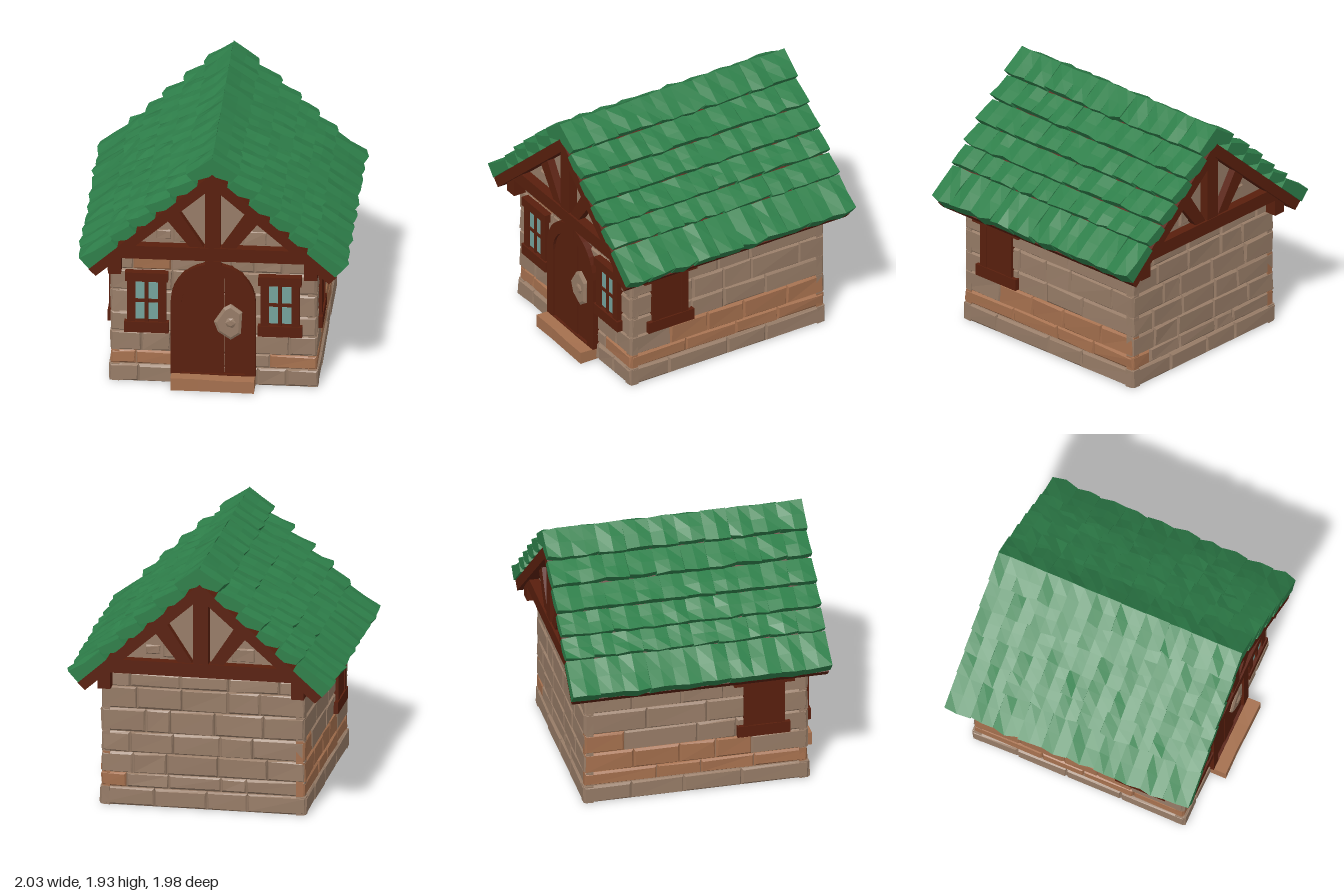
import * as THREE from 'three';

const mat = (name, color) => Object.assign(new THREE.MeshStandardMaterial({ color }), { name });

// repeatable noise in -1..1
const noise = (...k) => {
  const s = Math.sin(k.reduce((a, v, i) => a + v * [12.99, 78.23, 37.72, 51.37][i], 4.1)) * 43758.5453;
  return (s - Math.floor(s)) * 2 - 1;
};

// move every vertex by a rule and give flat faces
function reshape(geometry, rule) {
  const g = geometry.toNonIndexed(), p = g.attributes.position;
  for (let i = 0; i < p.count; i++) p.setXYZ(i, ...rule(p.getX(i), p.getY(i), p.getZ(i)));
  g.computeVertexNormals();
  return g;
}

export function createModel() {
  const model = new THREE.Group();
  model.name = 'cottage';
  const stone = mat('stone', 0x977c67), clay = mat('clay stone', 0xa5704e);
  const wood = mat('dark wood', 0x591f0d), green = mat('green tile', 0x2e7f4a), glass = mat('window glass', 0x75a39c);

  const add = (parent, name, geometry, material, x = 0, y = 0, z = 0) => {
    const m = new THREE.Mesh(geometry, material);
    m.name = name;
    m.position.set(x, y, z);
    parent.add(m);
    return m;
  };
  const group = (parent, name, ry = 0) => {
    const g = new THREE.Group();
    g.name = name;
    g.rotation.y = ry;
    parent.add(g);
    return g;
  };
  // box between two corners
  const box = (parent, name, material, x0, x1, y0, y1, z0, z1) =>
    add(parent, name, new THREE.BoxGeometry(x1 - x0, y1 - y0, z1 - z0), material, (x0 + x1) / 2, (y0 + y1) / 2, (z0 + z1) / 2);
  const plate = (parent, name, material, shape, z0, z1) =>
    add(parent, name, new THREE.ExtrudeGeometry(shape, { depth: z1 - z0, bevelEnabled: false, curveSegments: 8 }), material, 0, 0, z0);
  const poly = pts => new THREE.Shape(pts.map(p => new THREE.Vector2(...p)));

  // rough stone block with a chamfered, uneven outer face
  let seed = 0;
  function block(parent, material, u0, u1, y0, y1, z0, z1) {
    const s = ++seed, w = u1 - u0, h = y1 - y0, d = z1 - z0;
    const g = reshape(new THREE.BoxGeometry(w, h, d, 1, 1, 2), (x, y, z) => {
      const sx = Math.sign(x), sy = Math.sign(y);
      if (z < -0.01) return [x, y, z];
      if (z < 0.01) return [x - sx * 0.002, y - sy * 0.002, d / 2 - 0.018];
      return [x - sx * (0.014 + 0.006 * noise(sx, sy, s)), y - sy * (0.014 + 0.006 * noise(sy, sx, s)),
        z + 0.005 * noise(sx, sy, s, 2) - 0.003];
    });
    add(parent, 'stoneBlock', g, material, (u0 + u1) / 2, (y0 + y1) / 2, (z0 + z1) / 2);
  }

  // walls: a core with stone courses laid on each side
  box(model, 'wallCore', stone, -0.745, 0.745, 0, 1.03, -0.825, 0.835);
  box(model, 'foundation', stone, -0.76, 0.76, 0, 0.12, -0.84, 0.845);
  const courses = [0, 0.14, 0.25, 0.41, 0.57, 0.75, 0.92, 1.03];
  function wall(name, angle, half, out, count, size, isClay) {
    const g = group(model, name, angle);
    for (let c = 0; c < count; c++) {
      const end = half + (c ? 0 : 0.01);
      let u = -end;
      while (u < end - 0.01) {
        let next = u + size * (1 + 0.4 * noise(c, u, angle));
        if (end - next < size * 0.5) next = end;
        const mid = (u + next) / 2;
        block(g, isClay(c, mid) ? clay : stone, u, next, courses[c], courses[c + 1], out - 0.07, out + (c ? 0 : 0.01));
        u = next;
      }
    }
  }
  const sideClay = (c, z) => c === 1 || (c === 2 && z < 0.45) || (c === 3 && z < -0.68);
  wall('frontWall', 0, 0.765, 0.855, 7, 0.24, (c, x) => (c === 1 && (x < -0.3 || (x > 0.3 && x < 0.7))) || (c === 6 && Math.abs(x + 0.4) < 0.12));
  wall('backWall', Math.PI, 0.765, 0.85, 7, 0.3, (c, x) => c === 1 && x < -0.55);
  wall('rightWall', Math.PI / 2, 0.845, 0.77, 6, 0.4, (c, u) => sideClay(c, -u));
  wall('leftWall', -Math.PI / 2, 0.845, 0.77, 6, 0.4, sideClay);

  // doorstep
  const step = add(model, 'doorstep', reshape(new THREE.BoxGeometry(0.62, 0.1, 0.17, 3, 1, 1), (x, y, z) =>
    [x, y - (y > 0 ? 0.008 * (1 + noise(Math.round(x * 9), z > 0 ? 1 : 0)) : 0), z - (z > 0 ? 0.01 * (1 + noise(Math.round(x * 9), 3)) : 0)]), clay);
  step.position.set(0, 0.05, 0.915);

  // arched door frame, planks and handle plate
  const door = group(model, 'door');
  const arch = (C, r, y0, yc) => {
    const s = new C();
    s.moveTo(-r, y0);
    s.lineTo(r, y0);
    s.lineTo(r, yc);
    s.absarc(0, yc, r, 0, Math.PI, false);
    s.lineTo(-r, y0);
    return s;
  };
  const frame = arch(THREE.Shape, 0.315, 0.09, 0.69);
  frame.holes.push(arch(THREE.Path, 0.235, 0.1, 0.675));
  plate(door, 'doorFrame', wood, frame, 0.8, 0.895);
  box(door, 'keystone', wood, -0.06, 0.06, 0.93, 1.03, 0.82, 0.9);
  [[-0.24, -0.085, 0.874], [-0.082, 0.078, 0.88], [0.081, 0.24, 0.872]].forEach(([a, b, z]) => {
    const top = [0, 1, 2, 3, 4].map(i => b + (a - b) * i / 4).map(x => [x, 0.675 + Math.sqrt(0.0577 - x * x)]);
    plate(door, 'doorPlank', wood, poly([[a, 0.1], [b, 0.1], ...top]), 0.82, z);
  });
  add(door, 'handlePlate', new THREE.ExtrudeGeometry(
    poly([[0.01, 0.53], [0.04, 0.45], [0.13, 0.39], [0.2, 0.44], [0.21, 0.61], [0.13, 0.67], [0.08, 0.64]]),
    { depth: 0.012, bevelThickness: 0.012, bevelSize: 0.02, bevelOffset: -0.015, bevelSegments: 1 }), stone, 0, 0, 0.875);
  const knob = add(door, 'doorKnob', new THREE.IcosahedronGeometry(0.045, 0), stone, 0.13, 0.53, 0.897);
  knob.scale.z = 0.4;

  // front windows: frame, lintel, sill and four panes
  for (const s of [-1, 1]) {
    const w = group(model, s > 0 ? 'frontWindowLeft' : 'frontWindowRight');
    w.position.x = s * 0.495;
    box(w, 'windowBack', wood, -0.14, 0.14, 0.5, 0.86, 0.8, 0.872);
    for (const e of [-1, 1]) box(w, 'windowJamb', wood, e * 0.115 - 0.03, e * 0.115 + 0.03, 0.5, 0.86, 0.82, 0.89);
    box(w, 'windowMullion', wood, -0.013, 0.013, 0.5, 0.86, 0.82, 0.886);
    box(w, 'windowCrossbar', wood, -0.1, 0.1, 0.668, 0.692, 0.82, 0.884);
    box(w, 'windowLintel', wood, -0.16, 0.16, 0.845, 0.915, 0.82, 0.9);
    box(w, 'windowSill', wood, -0.165, 0.165, 0.425, 0.51, 0.82, 0.9);
    for (const px of [-1, 1]) for (const y of [0.595, 0.762])
      add(w, 'windowPane', new THREE.BoxGeometry(0.068, 0.135, 0.006), glass, px * 0.049, y, 0.874);
  }

  // shuttered windows on both long sides
  for (const s of [-1, 1]) {
    const w = group(model, s > 0 ? 'sideShutterRight' : 'sideShutterLeft');
    const a = s > 0 ? 0.72 : -0.785, b = s > 0 ? 0.785 : -0.72, o = s * 0.006;
    box(w, 'shutter', wood, a, b, 0.49, 0.86, 0.36, 0.67);
    for (const z of [0.39, 0.64]) box(w, 'shutterPost', wood, a + o, b + o, 0.49, 0.86, z - 0.03, z + 0.03);
    box(w, 'shutterLintel', wood, a + 2 * o, b + 2 * o, 0.85, 0.92, 0.285, 0.745);
    box(w, 'shutterSill', wood, a + 2 * o, b + 2 * o, 0.42, 0.51, 0.31, 0.71);
  }

  // timber roof deck and wall plates
  plate(model, 'roofDeck', wood, poly([[0, 1.79], [-0.92, 0.97], [-0.865, 0.915], [0, 1.675], [0.865, 0.915], [0.92, 0.97]]), -0.97, 0.975);
  for (const s of [-1, 1]) box(model, 'wallPlate', wood, s * 0.728 - 0.048, s * 0.728 + 0.048, 0.925, 1.07, -0.94, 0.95);

  // gable ends: stone infill, tie beam, king post and braces
  for (const angle of [0, Math.PI]) {
    const g = group(model, angle ? 'backGable' : 'frontGable', angle);
    plate(g, 'gableInfill', stone, poly([[-0.72, 1.06], [0.72, 1.06], [0, 1.7]]), 0.83, 0.87);
    [[-0.43, -0.31, 1.19, 1.27], [-0.3, -0.19, 1.17, 1.3], [0.22, 0.4, 1.17, 1.28]].forEach(b => block(g, stone, ...b, 0.83, 0.885));
    box(g, 'tieBeam', wood, -0.72, 0.72, 1.055, 1.16, 0.85, 0.945);
    box(g, 'kingPost', wood, -0.057, 0.057, 1.14, 1.7, 0.85, 0.94);
    for (const s of [-1, 1]) {
      const pts = [[0.06, 1.15], [0.165, 1.15], [0.36, 1.4], [0.26, 1.46]].map(([x, y]) => [s * x, y]);
      plate(g, 'brace', wood, poly(pts), 0.85, 0.93);
    }
  }

  // roof tiles: six overlapping rows per slope, ten uneven tiles in each
  const a = Math.atan(0.89), ca = Math.cos(a), sa = Math.sin(a);
  const rowEnd = [-0.086, 0.149, 0.362, 0.567, 0.758, 0.941, 1.238];
  const rowTop = [0.133, 0.135, 0.13, 0.122, 0.112, 0.11];
  const joint = (r, t, side) => -0.985 + t * 0.197 + (t > 0 && t < 10 ? 0.022 * noise(r, t, side) : 0);
  for (const side of [0, 1]) {
    const slope = group(model, side ? 'roofTilesRight' : 'roofTilesLeft', side * Math.PI);
    for (let r = 0; r < 6; r++) for (let t = 0; t < 10; t++) {
      const z0 = joint(r, t, side), z1 = joint(r, t + 1, side), id = r * 10 + t + side * 100;
      const s0 = rowEnd[r], s1 = rowEnd[r + 1];
      const g = reshape(new THREE.BoxGeometry(1, 1, 1, 2, 1, 2), (x, y, z) => {
        const u = x + 0.5, j = noise(x, z, id), crown = z === 0 ? 1 : 0;
        const ridge = r === 0 && u === 0;
        let s = s0 + (s1 - s0) * u, n = 0;
        if (u === 1) s += 0.01 * noise(z, id) - (crown ? 0 : 0.008);
        if (y > 0) {
          n = (r ? 0.075 : 0.097) * (1 - u) + rowTop[r] * u;
          if (!ridge) n += 0.009 * j + (crown ? 0.006 : -0.006);
          else n += 0.006 * noise(z, id);
        } else if (u === 1) n = r < 5 ? 0.05 : 0;
        // ridge tiles meet on the centre plane
        if (ridge) s = -n * sa / ca;
        return [s * ca + n * sa, 1.79 - s * sa + n * ca, z0 + (z1 - z0) * (z + 0.5)];
      });
      add(slope, 'roofTile', g, green);
    }
  }
  return model;
}
